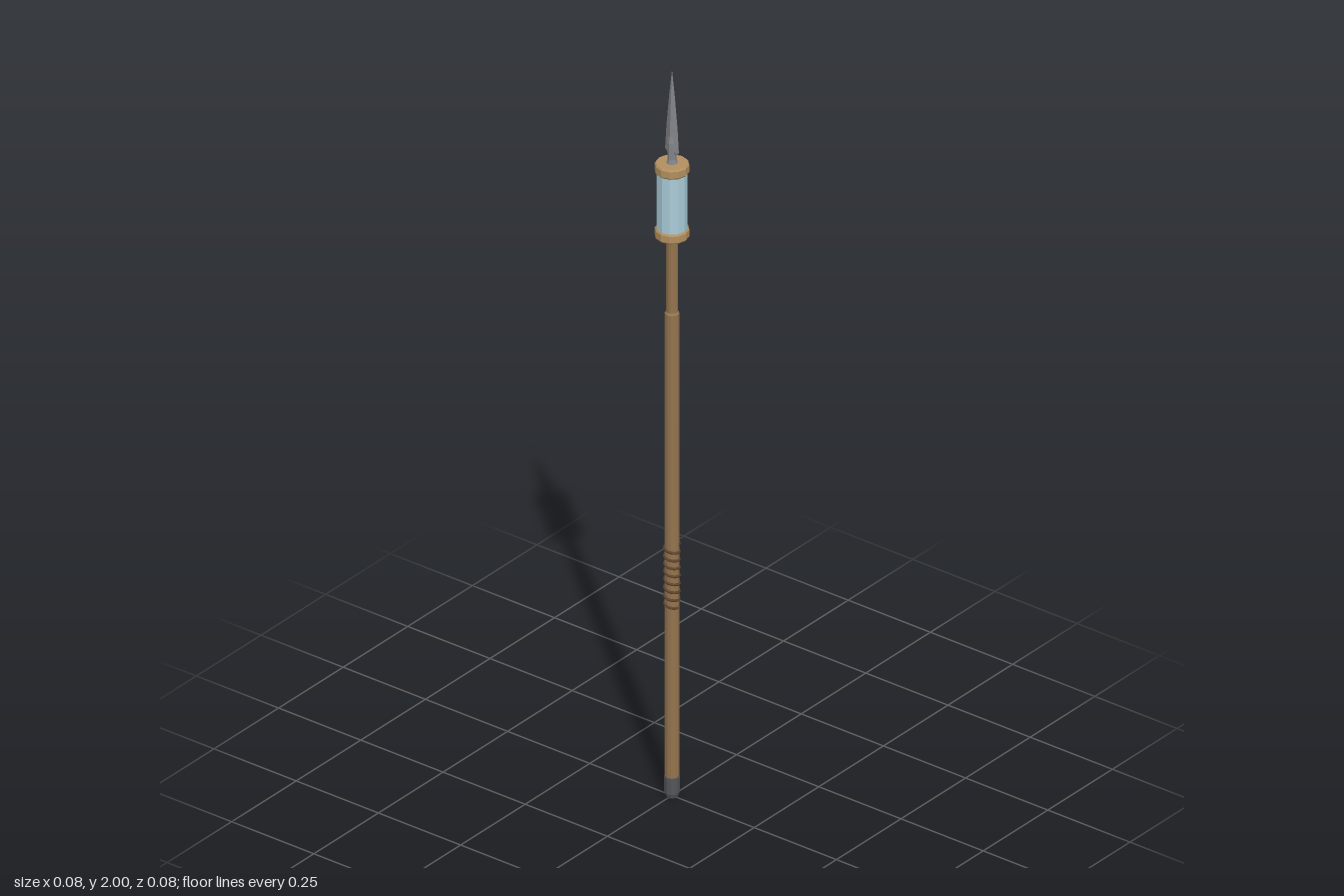
import * as THREE from 'three';

const mat = (color) => new THREE.MeshStandardMaterial({ color, flatShading: true });

export function createModel() {
  const group = new THREE.Group();
  const wood = mat(0x94744f), tan = mat(0xb39060), glass = mat(0xa9ccd8);
  const steel = mat(0x85868a), iron = mat(0x55555a), cord = mat(0x5f432f);

  const add = (name, geometry, material) => {
    const mesh = new THREE.Mesh(geometry, material);
    mesh.name = name;
    group.add(mesh);
    return mesh;
  };
  // Turned part from [radius, y] points, bottom to top
  const turned = (name, points, sides, material) =>
    add(name, new THREE.LatheGeometry(points.map(([r, y]) => new THREE.Vector2(r, y)), sides), material);

  // Shaft, stepping down to a thinner neck
  turned('shaft', [[0, 0.04], [0.018, 0.04], [0.018, 1.33], [0.0145, 1.335], [0.0145, 1.55]], 12, wood);

  // Metal butt
  turned('buttCap', [[0, 0], [0.015, 0], [0.019, 0.012], [0.019, 0.055], [0.0175, 0.058]], 12, iron);

  // Cord wound around the grip
  const turns = 8, steps = turns * 12, path = [];
  for (let i = 0; i <= steps; i++) {
    const a = (i / 12) * Math.PI * 2;
    path.push(new THREE.Vector3(Math.cos(a) * 0.0175, 0.523 + (0.174 * i) / steps, Math.sin(a) * 0.0175));
  }
  add('gripCord', new THREE.TubeGeometry(new THREE.CatmullRomCurve3(path), steps * 2, 0.004, 6), cord);

  // Canister with a collar at each end
  turned('canister', [[0.038, 1.56], [0.038, 1.725]], 12, glass);
  for (const [name, y] of [['lowerCollar', 1.54], ['upperCollar', 1.718]]) {
    turned(name, [[0, y], [0.039, y], [0.042, y + 0.004], [0.042, y + 0.022], [0.039, y + 0.026], [0, y + 0.026]], 12, tan);
  }

  // Socket and four-sided blade
  turned('bladeSocket', [[0.015, 1.74], [0.011, 1.755], [0.0115, 1.8], [0.007, 1.825], [0, 1.83]], 8, steel);
  turned('blade', [[0, 1.757], [0.009, 1.76], [0.021, 1.777], [0.017, 1.84], [0.009, 1.925], [0, 2]], 4, steel)
    .scale.z = 0.45;

  return group;
}
